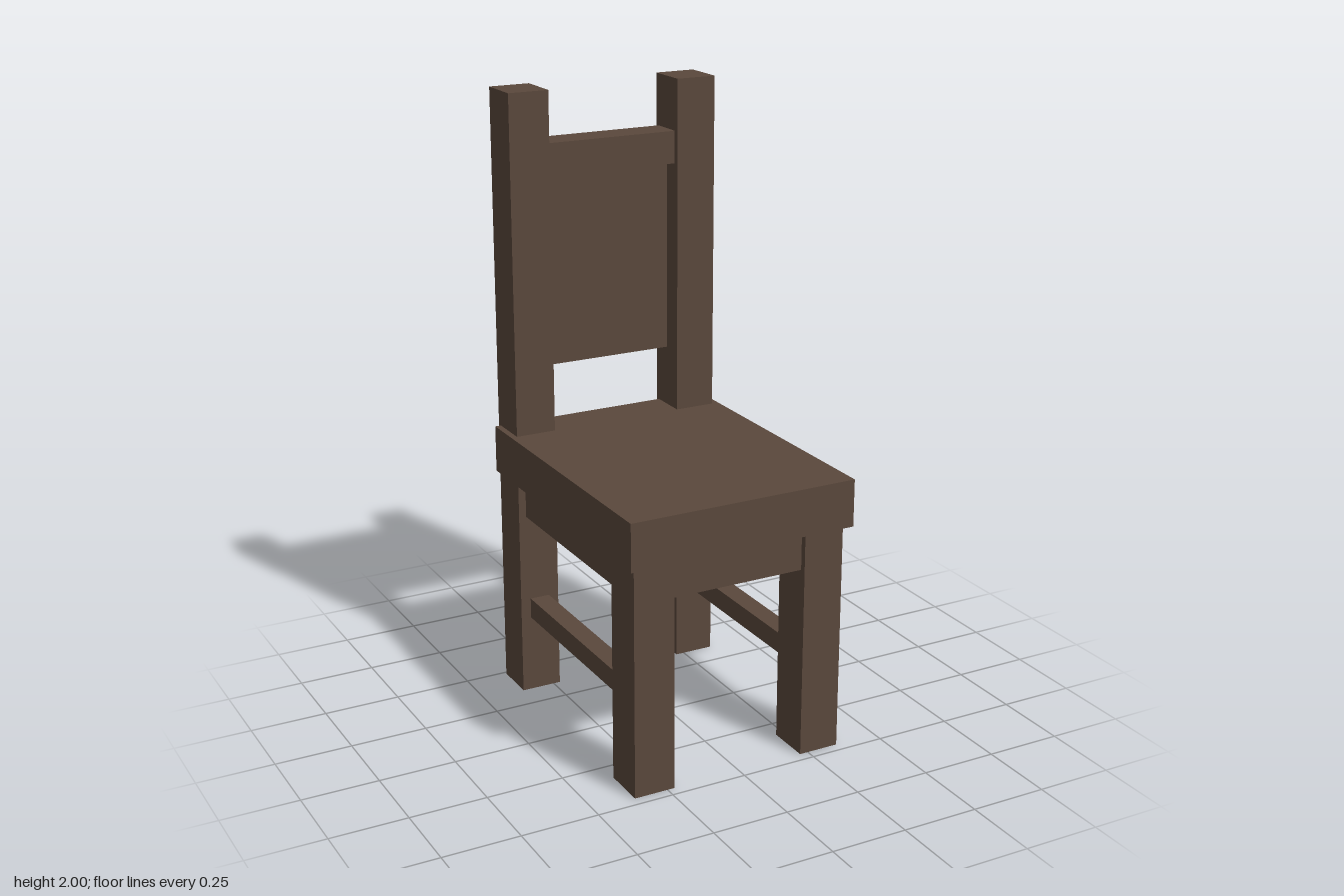
import * as THREE from 'three';

export function createModel() {
  const chair = new THREE.Group();
  chair.name = 'chair';
  const wood = new THREE.MeshStandardMaterial({ color: 0x5a483c });
  wood.name = 'darkWood';

  // Box given by its extents along each axis
  function beam(name, [x0, x1], [y0, y1], [z0, z1]) {
    const mesh = new THREE.Mesh(new THREE.BoxGeometry(x1 - x0, y1 - y0, z1 - z0), wood);
    mesh.position.set((x0 + x1) / 2, (y0 + y1) / 2, (z0 + z1) / 2);
    mesh.name = name;
    chair.add(mesh);
  }
  const around = (centre, half) => [centre - half, centre + half];

  const seatBottom = 0.747, apronY = [0.62, seatBottom];
  const frontLegZ = [0.321, 0.466], backPostZ = [-0.49, -0.347];
  const inner = [-0.227, 0.222]; // span between the legs

  beam('seat', [-0.381, 0.379], [seatBottom, 0.9], [-0.475, 0.488]);

  // Legs, side aprons and stretchers
  for (const [side, x] of [['left', 0.289], ['right', -0.294]]) {
    beam(side + 'FrontLeg', around(x, 0.067), [0, seatBottom], frontLegZ);
    beam(side + 'BackPost', around(x, 0.067), [0, 2], backPostZ);
    beam(side + 'Apron', around(x, 0.042), apronY, [backPostZ[1], 0.317]);
    beam(side + 'Stretcher', around(x, 0.033), [0.26, 0.328], [backPostZ[1], frontLegZ[0]]);
  }

  // Cross aprons under the seat
  beam('frontApron', inner, apronY, [0.34, 0.446]);
  beam('backApron', inner, apronY, [-0.474, -0.366]);

  // Backrest
  beam('topRail', inner, [1.727, 1.832], [-0.475, -0.366]);
  beam('backPanel', inner, [1.1, 1.727], [-0.437, -0.417]);

  return chair;
}
